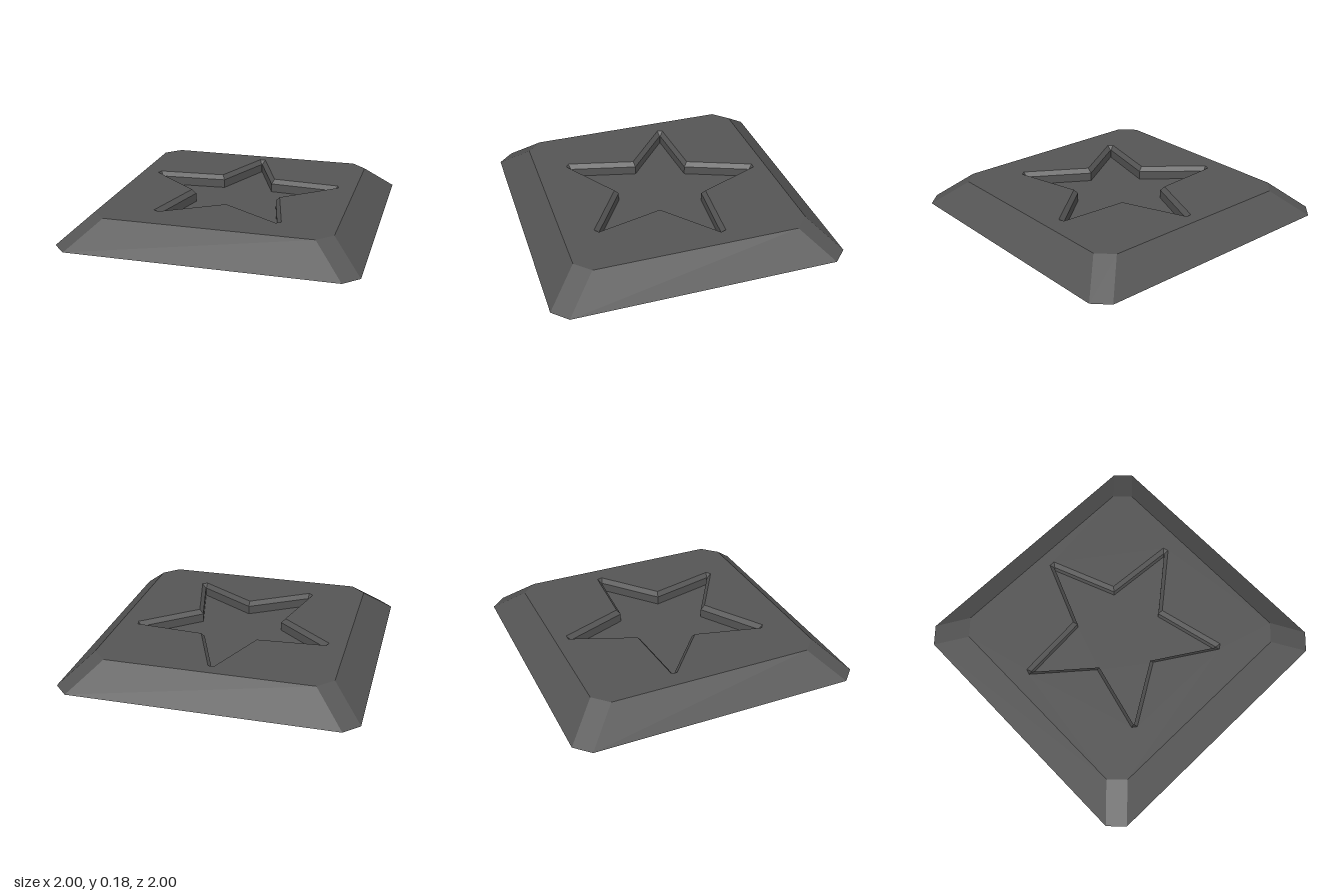
import * as THREE from 'three';

const HEIGHT = 0.18, BEVEL_Y = 0.15, FLOOR_Y = 0.09;

// Counter-clockwise square outline with cut corners (plan view, v = -z)
function octagon(a, c) {
  return [[a, -c], [a, c], [c, a], [-c, a], [-a, c], [-a, -c], [-c, -a], [c, -a]]
    .map(([x, v]) => new THREE.Vector2(x, v));
}

// Counter-clockwise five-pointed star with narrow blunt tips
function star(tip, halfTip, notch) {
  const pts = [];
  const centre = new THREE.Vector2();
  for (let i = 0; i < 5; i++) {
    const turn = i * Math.PI * 2 / 5;
    for (const [x, v] of [[halfTip, tip], [-halfTip, tip]]) {
      pts.push(new THREE.Vector2(x, v).rotateAround(centre, turn));
    }
    pts.push(new THREE.Vector2(0, notch).rotateAround(centre, turn + Math.PI / 5));
  }
  return pts;
}

// Flat-faced wall joining two outlines; lower to upper faces outward, upper to lower faces inward
function wall(from, y0, to, y1) {
  const pos = [];
  from.forEach((p, i) => {
    const j = (i + 1) % from.length;
    const a = [p.x, y0, -p.y], b = [from[j].x, y0, -from[j].y];
    const c = [to[j].x, y1, -to[j].y], d = [to[i].x, y1, -to[i].y];
    pos.push(...a, ...b, ...c, ...a, ...c, ...d);
  });
  const geo = new THREE.BufferGeometry();
  geo.setAttribute('position', new THREE.Float32BufferAttribute(pos, 3));
  geo.computeVertexNormals();
  return geo;
}

// Horizontal face at a height, optionally with a hole
function face(outline, y, hole) {
  const shape = new THREE.Shape(outline);
  if (hole) shape.holes.push(new THREE.Path(hole));
  return new THREE.ShapeGeometry(shape).rotateX(-Math.PI / 2).translate(0, y, 0);
}

export function createModel() {
  const group = new THREE.Group();
  const darkGrey = new THREE.MeshStandardMaterial({ color: 0x555555 });
  darkGrey.name = 'dark grey';
  const add = (name, geo) => {
    const mesh = new THREE.Mesh(geo, darkGrey);
    mesh.name = name;
    group.add(mesh);
  };

  const base = octagon(1, 0.9), top = octagon(0.8, 0.7);
  const rim = star(0.71, 0.02, 0.335), pit = star(0.685, 0.002, 0.305);

  // Bevelled slab
  add('slopedSides', wall(base, 0, top, HEIGHT));
  add('topFace', face(top, HEIGHT, rim));
  add('underside', new THREE.ShapeGeometry(new THREE.Shape(base)).rotateX(Math.PI / 2));

  // Sunken star: bevelled rim, upright wall, floor
  add('starRim', wall(rim, HEIGHT, pit, BEVEL_Y));
  add('starWall', wall(pit, BEVEL_Y, pit, FLOOR_Y));
  add('starFloor', face(pit, FLOOR_Y));
  return group;
}
